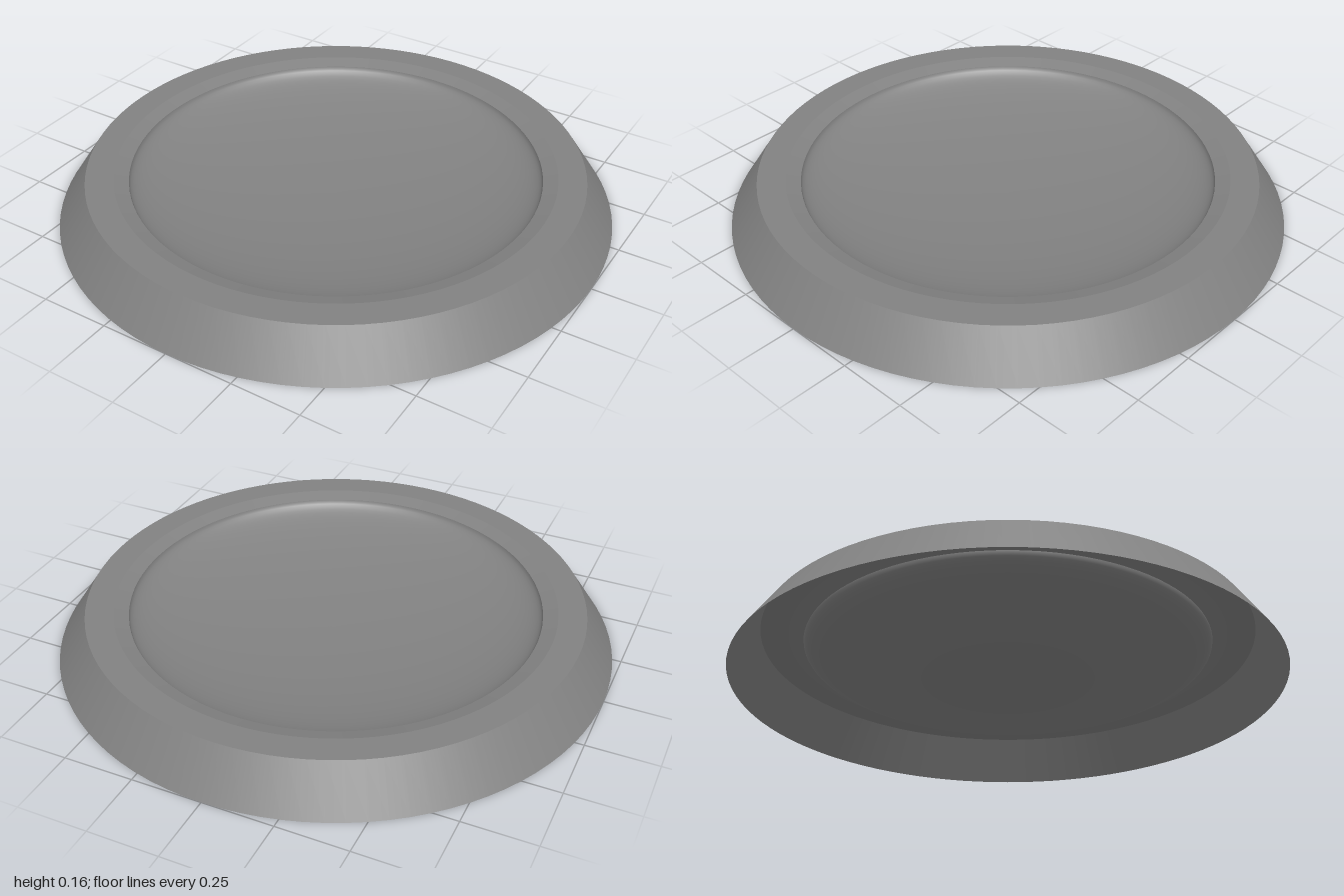
import * as THREE from 'three';

const SEGMENTS = 96;

export function createModel() {
  const group = new THREE.Group();
  group.name = 'shallowDish';
  const material = new THREE.MeshStandardMaterial({ color: 0x828282, side: THREE.DoubleSide });

  // Revolves a profile of [radius, height] pairs; separate bands keep sharp edges between them
  const addBand = (name, profile) => {
    const points = profile.map(([r, y]) => new THREE.Vector2(r, y));
    const mesh = new THREE.Mesh(new THREE.LatheGeometry(points, SEGMENTS), material);
    mesh.name = name;
    group.add(mesh);
  };

  // Thin shell, open underneath: skirt, flat rim and gentle bevel
  addBand('outerSkirt', [[1, 0], [0.895, 0.157]]);
  addBand('flatRim', [[0.895, 0.157], [0.795, 0.157]]);
  addBand('innerBevel', [[0.795, 0.157], [0.742, 0.142]]);

  // Concave bowl: lower half of a flattened ellipsoid, steep at its edge
  const bowl = [];
  const steps = 24, radius = 0.742, edgeHeight = 0.142, depth = 0.12;
  for (let i = 0; i <= steps; i++) {
    const angle = (i / steps) * Math.PI / 2;
    bowl.push([radius * Math.cos(angle), edgeHeight - depth * Math.sin(angle)]);
  }
  addBand('dishBowl', bowl);

  return group;
}
